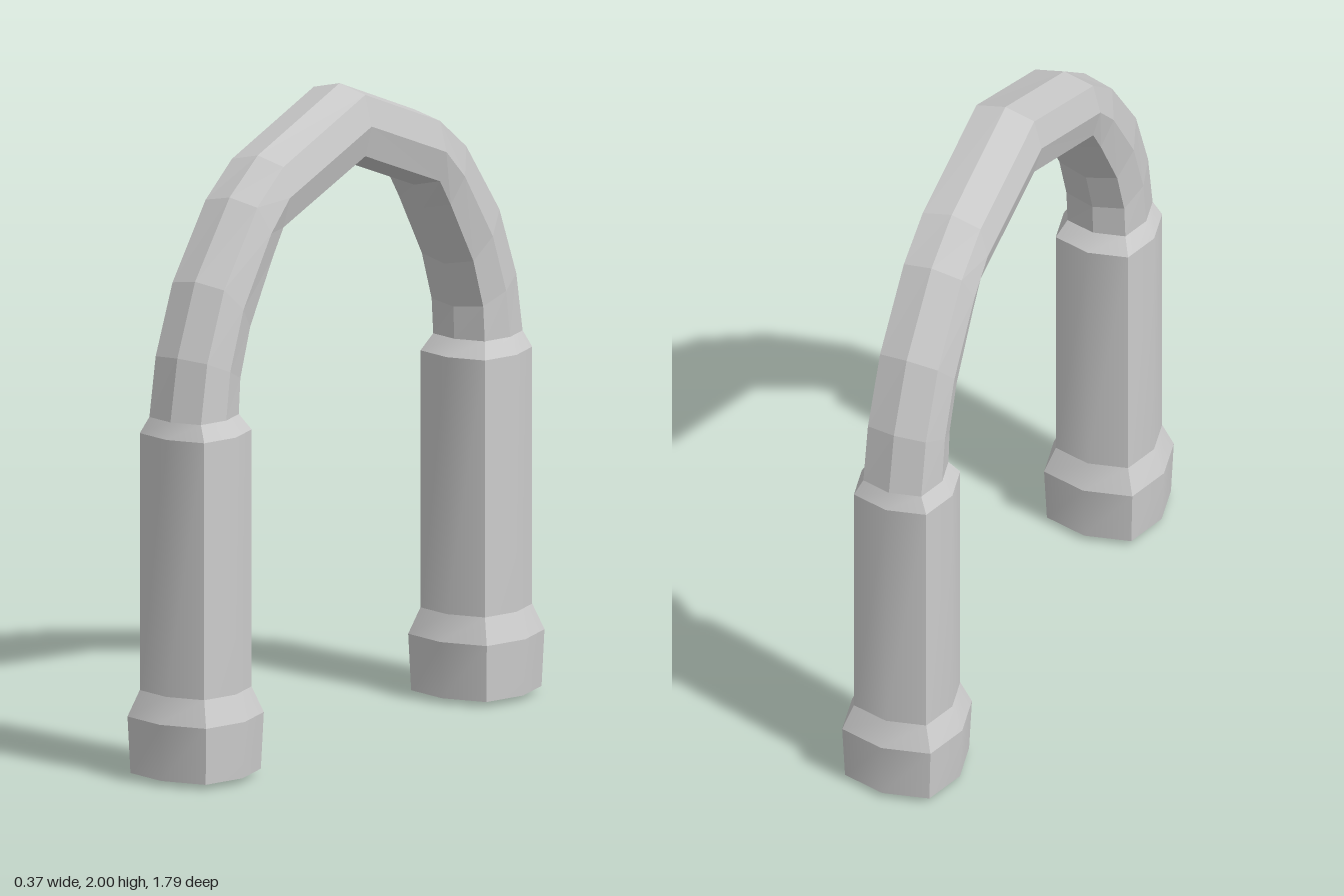
import * as THREE from 'three';
import { mergeGeometries, toCreasedNormals } from 'three/addons/utils/BufferGeometryUtils.js';

// Eight-sided section in unit coordinates: u along x, v towards the outside of the arch
const D = 0.8;
const SECTION = [[0, 1], [D, D], [1, 0], [D, -D], [0, -1], [-D, -D], [-1, 0], [-D, D]];

// Ring of points spanning from an outer to an inner [z, y] point
function ring([outer, inner], halfWidth) {
  const cz = (outer[0] + inner[0]) / 2, cy = (outer[1] + inner[1]) / 2;
  return SECTION.map(([u, v]) => [u * halfWidth, cy + v * (outer[1] - cy), cz + v * (outer[0] - cz)]);
}

// Skin between consecutive rings
function loft(rings) {
  const pos = [];
  for (let i = 0; i + 1 < rings.length; i++) {
    const a = rings[i], b = rings[i + 1];
    for (let j = 0; j < 8; j++) {
      const k = (j + 1) % 8;
      pos.push(...a[j], ...a[k], ...b[k], ...a[j], ...b[k], ...b[j]);
    }
  }
  const g = new THREE.BufferGeometry();
  g.setAttribute('position', new THREE.Float32BufferAttribute(pos, 3));
  g.computeVertexNormals();
  return g;
}

const LEG_Z = 0.712;
const legRing = (r, y, z = 0) => ring([[z + r, y], [z - r, y]], r);

// Stack of bands; each band is smooth around its sides and sharp at its rims
function stack(profile) {
  const bands = [];
  for (let i = 0; i + 1 < profile.length; i++) {
    bands.push(toCreasedNormals(loft([legRing(...profile[i]), legRing(...profile[i + 1])]), 0.58));
  }
  return mergeGeometries(bands);
}

export function createModel() {
  const group = new THREE.Group();
  const material = new THREE.MeshStandardMaterial({ color: 0xcccccc });
  const flat = new THREE.MeshStandardMaterial({ color: 0xcccccc, flatShading: true });
  const add = (name, geometry, mat, parent) => {
    const mesh = new THREE.Mesh(geometry, mat);
    mesh.name = name;
    parent.add(mesh);
  };

  // Legs: [radius, height] from the ground upwards
  const foot = stack([[0.001, 0], [0.175, 0.016], [0.183, 0.19], [0.15, 0.27]]);
  const shaft = stack([[0.15, 0.27], [0.15, 1.06]]);
  const collar = stack([[0.15, 1.06], [0.12, 1.11, 0.008]]);
  for (const side of [1, -1]) {
    const leg = new THREE.Group();
    leg.name = side > 0 ? 'frontLeg' : 'backLeg';
    add('foot', foot, material, leg);
    add('shaft', shaft, material, leg);
    add('collar', collar, material, leg);
    leg.position.z = side * LEG_Z;
    if (side < 0) leg.rotation.y = Math.PI;
    group.add(leg);
  }

  // Arch: outer and inner [z, y] points from the front leg up to the crown
  const half = [
    [[0.84, 1.11], [0.60, 1.11]],
    [[0.805, 1.30], [0.595, 1.21]],
    [[0.715, 1.52], [0.55, 1.35]],
    [[0.54, 1.748], [0.442, 1.54]],
    [[0.397, 1.852], [0.397, 1.62]],
  ];
  const crown = [[-0.018, 2], [-0.018, 1.764]];
  const mirrored = half.map(pair => pair.map(([z, y]) => [-z, y])).reverse();
  add('arch', loft([...half, crown, ...mirrored].map(pair => ring(pair, 0.12))), flat, group);

  return group;
}
